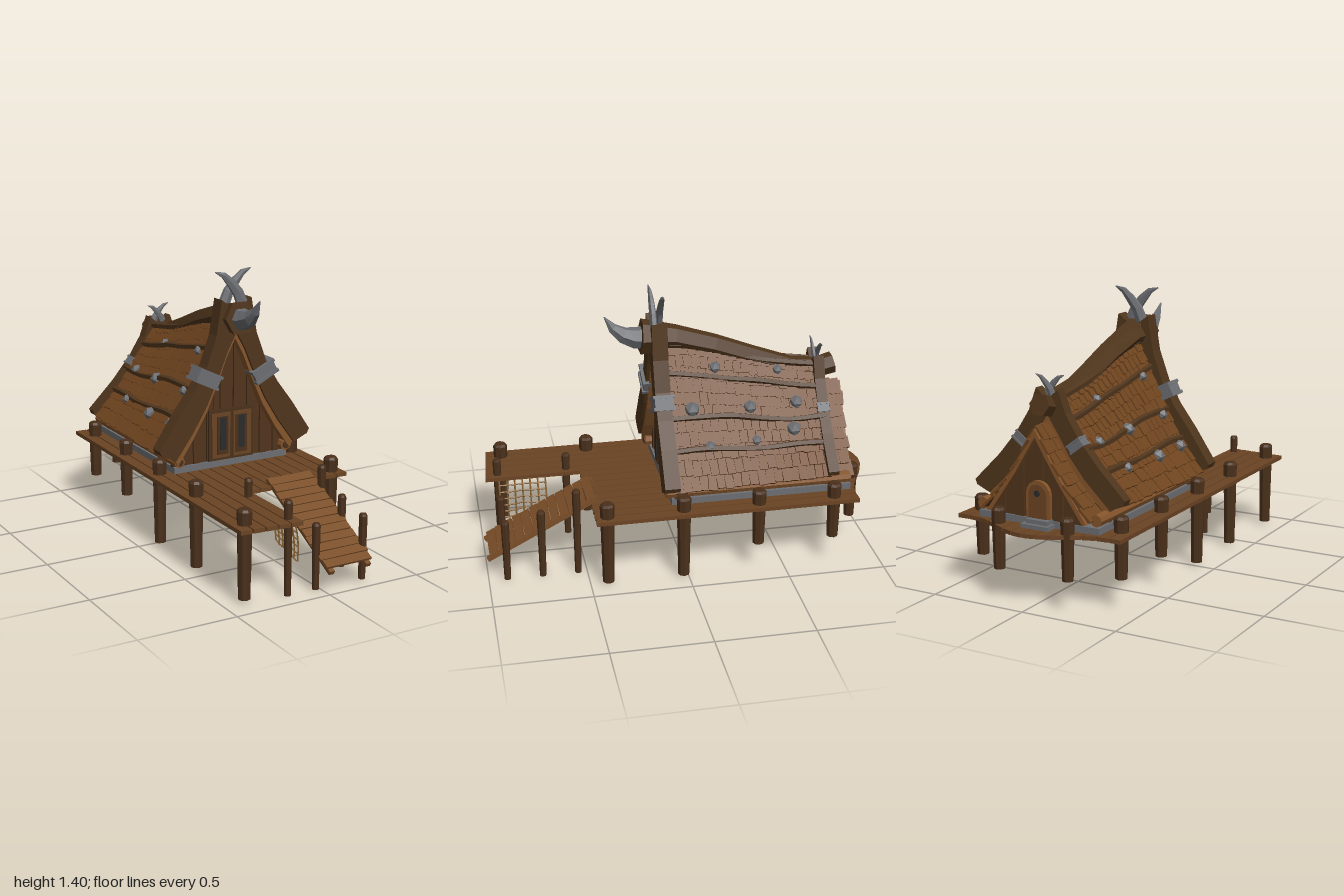
import * as THREE from 'three';
import { mergeGeometries } from 'three/addons/utils/BufferGeometryUtils.js';

const mat = (color, side = THREE.FrontSide) => new THREE.MeshStandardMaterial({ color, flatShading: true, side });
const M = {
  deck: mat(0x6b4424), post: mat(0x4a301b), frame: mat(0x4f351c), wall: mat(0x50341c), trim: mat(0x85552b),
  shingle: mat(0x70451f), under: mat(0x4a2e18, THREE.DoubleSide), ramp: mat(0x7a4e28), door: mat(0x6b4423),
  iron: mat(0x6c6e72), glass: mat(0x2a2a2c), rope: mat(0x8a6434),
};
let seed = 7;
const rnd = () => (seed = (seed * 16807) % 2147483647) / 2147483647;
const V = (x, y, z) => new THREE.Vector3(x, y, z);
const lerp = THREE.MathUtils.lerp;

function add(parent, name, geo, material, x = 0, y = 0, z = 0) {
  const m = new THREE.Mesh(geo, material);
  m.name = name;
  m.position.set(x, y, z);
  parent.add(m);
  return m;
}
const box = (w, h, d, x = 0, y = 0, z = 0) => new THREE.BoxGeometry(w, h, d).translate(x, y, z);
const extrude = (pts, depth) => new THREE.ExtrudeGeometry(
  new THREE.Shape(pts.map(p => new THREE.Vector2(p[0], p[1]))), { depth, bevelEnabled: false });
const mirrorX = pts => pts.map(p => [-p[0], p[1]]);

// piecewise linear lookup of b over increasing a
function lookup(a, b, t) {
  let i = 0;
  while (i < a.length - 2 && t > a[i + 1]) i++;
  return lerp(b[i], b[i + 1], (t - a[i]) / (a[i + 1] - a[i]));
}

// tapered sweep along a path in the xy plane; each point is [x, y, radius in plane, radius in z]
function sweep(path, sides) {
  const pos = [], idx = [], n = path.length;
  path.forEach((p, i) => {
    const a = path[Math.max(0, i - 1)], b = path[Math.min(n - 1, i + 1)];
    const t = new THREE.Vector2(b[0] - a[0], b[1] - a[1]).normalize();
    for (let j = 0; j < sides; j++) {
      const g = (j + 0.5) / sides * Math.PI * 2, c = Math.cos(g) * p[2];
      pos.push(p[0] - t.y * c, p[1] + t.x * c, Math.sin(g) * p[3]);
    }
  });
  for (let i = 0; i < n - 1; i++) for (let j = 0; j < sides; j++) {
    const a = i * sides + j, b = i * sides + (j + 1) % sides;
    idx.push(a, b, b + sides, a, b + sides, a + sides);
  }
  const e = (n - 1) * sides;
  for (let j = 1; j < sides - 1; j++) idx.push(0, j + 1, j, e, e + j, e + j + 1);
  const g = new THREE.BufferGeometry();
  g.setAttribute('position', new THREE.Float32BufferAttribute(pos, 3));
  g.setIndex(idx);
  g.computeVertexNormals();
  return g;
}

// curved roof slope: x, front heights and back heights from ridge to eave
const roofSurface = (px, yf, yb, z0, z1, s) => (v, u) => {
  const k = px.map((_, i) => i / (px.length - 1)), t = u * u * (3 - 2 * u);
  return V(s * lookup(k, px, v), lerp(lookup(k, yf, v), lookup(k, yb, v), t), lerp(z0, z1, u));
};
function shingledSlope(parent, surf, s, rows, cols, w) {
  const sheet = new THREE.PlaneGeometry(1, 1, 10, 8), p = sheet.attributes.position;
  for (let i = 0; i < p.count; i++) p.setXYZ(i, ...surf(0.5 - p.getY(i), p.getX(i) + 0.5).toArray());
  sheet.computeVertexNormals();
  add(parent, 'roofBoards', sheet, M.under);
  const list = [];
  for (let r = 0; r < rows; r++) for (let c = 0; c < cols; c++) {
    const v = (r + 0.5) / rows, u = (c + 0.5 + (r % 2 ? 0.2 : -0.2)) / cols;
    const a = surf(v - 0.5 / rows, u), b = surf(v + 0.5 / rows, u), len = a.distanceTo(b);
    const Y = a.clone().sub(b).normalize(), Z = V(0, 0, -s).cross(Y).normalize(), X = Y.clone().cross(Z);
    const g = box(w * (0.86 + rnd() * 0.12), len * (1.1 + rnd() * 0.3), 0.012);
    g.rotateX(-0.12).rotateZ((rnd() - 0.5) * 0.12);
    const o = a.add(b).multiplyScalar(0.5).addScaledVector(Z, 0.006 + rnd() * 0.006);
    list.push(g.applyMatrix4(new THREE.Matrix4().makeBasis(X, Y, Z).setPosition(o)));
  }
  add(parent, 'shingles', mergeGeometries(list), M.shingle);
}

// vertical board wall under a gable profile
function boardWall(parent, name, px, py, base, half, z, n) {
  const list = [], w = half * 2 / n;
  for (let i = 0; i < n; i++) {
    const a = -half + i * w, b = a + w * 0.92;
    const top = x => Math.max(base + 0.01, lookup(px, py, Math.abs(x)));
    const pts = [[a, base], [b, base], [b, top(b)]];
    if (a < 0 && b > 0) pts.push([0, top(0)]);
    pts.push([a, top(a)]);
    list.push(extrude(pts, 0.025).translate(0, 0, z + (i % 2) * 0.005));
  }
  add(parent, name, mergeGeometries(list), M.wall);
}

// A-shaped gable frame with lighter inner trim
function gable(parent, name, outer, inner, dip, z, depth) {
  const g = new THREE.Group();
  g.name = name;
  const rev = a => a.slice().reverse();
  add(g, 'rafters', extrude([[0, dip], ...mirrorX(outer), ...mirrorX(rev(inner)), ...inner.slice(1), ...rev(outer)], depth), M.frame, 0, 0, z);
  const low = inner.map(p => [p[0] * 0.955, p[1] - 0.035]);
  add(g, 'rafterTrim', extrude([...mirrorX(rev(inner)), ...inner.slice(1), ...rev(low), ...mirrorX(low.slice(1))], depth * 0.7), M.trim, 0, 0, z + depth * 0.1);
  parent.add(g);
}

// crossed horns and iron bands of a gable
function gableIron(parent, y, z, k, dz, bx, by, angle) {
  const path = [[0.05, -0.1], [0.045, -0.03], [0.015, 0.04], [-0.025, 0.09], [-0.065, 0.13], [-0.112, 0.148]];
  const rad = [0.034, 0.034, 0.03, 0.025, 0.017, 0.003];
  const horn = sweep(path.map((p, i) => [p[0] * k, p[1] * k, rad[i] * k, rad[i] * 0.6 * k]), 6);
  [1, -1].forEach(s => {
    const h = add(parent, 'gableHorn', horn, M.iron, 0, y, z + s * dz);
    if (s < 0) h.rotation.y = Math.PI;
    const q = lerp(0.6, 1, (k - 0.6) / 0.4);
    const band = mergeGeometries([box(0.13, 0.06, 0.095), box(0.14, 0.016, 0.11, 0, 0.03), box(0.14, 0.016, 0.11, 0, -0.03)]).scale(q, q, q);
    add(parent, 'rafterBand', band, M.iron, s * bx, by, z).rotation.z = s * angle;
  });
}

function post(parent, x, z, r, bottom, top) {
  const h = top - bottom;
  add(parent, 'post', mergeGeometries([
    new THREE.CylinderGeometry(r, r * 0.8, h - 0.012, 8).translate(0, h / 2 - 0.006, 0),
    new THREE.CylinderGeometry(r * 0.75, r, 0.012, 8).translate(0, h - 0.006, 0)]), M.post, x, bottom, z);
}

export function createModel() {
  const model = new THREE.Group();
  model.name = 'stiltHouse';

  // deck planks with a bowed back edge
  const planks = [], pw = 0.9 / 14;
  const backEdge = x => Math.abs(x) > 0.37 ? -0.87 : -0.87 - 0.065 * (1 + Math.cos(Math.PI * x / 0.37));
  for (let i = 0; i < 14; i++) {
    const a = -0.45 + i * pw, b = a + pw - 0.006, f = i < 5 ? 0.95 + i * 0.005 : 0.47 + (i < 9 ? 0.012 : 0);
    planks.push(extrude([[a, backEdge(a)], [b, backEdge(b)], [b, f], [a, f - 0.004]], 0.02).rotateX(Math.PI / 2));
  }
  add(model, 'deck', mergeGeometries(planks), M.deck, 0, 0.385, 0);

  // posts
  [-1, 1].forEach(s => {
    [[0.41, 0.02], [0.025, 0.02], [-0.36, 0.16], [-0.75, 0.16]].forEach(([z, b]) => post(model, s * 0.388, z, 0.037, b, 0.46));
    post(model, s * 0.19, -0.9, 0.034, 0.16, 0.46);
  });
  post(model, -0.388, 0.87, 0.037, 0.02, 0.46);
  [[-0.175, 0.905, 0.475], [-0.175, 0.545, 0.475], [0.245, 0.545, 0.475], [0.245, 0.725, 0.375], [0.245, 0.905, 0.335], [-0.02, 0.905, 0.335]]
    .forEach(([x, z, t]) => post(model, x, z, 0.021, 0.005, t));

  // boarding ramp
  const ramp = new THREE.Group();
  ramp.name = 'ramp';
  const steps = [];
  for (let i = 0; i < 12; i++) steps.push(box(0.25 + rnd() * 0.02, 0.012, 0.046, 0, 0.012, -0.285 + i * 0.051).rotateY((rnd() - 0.5) * 0.03));
  add(ramp, 'rampPlanks', mergeGeometries(steps), M.ramp);
  [-0.105, 0.1].forEach(x => add(ramp, 'rampBeam', box(0.028, 0.02, 0.64), M.ramp, x, -0.004, 0));
  ramp.position.set(0.115, 0.262, 0.715);
  ramp.rotation.x = Math.atan2(0.29, 0.56);
  model.add(ramp);

  // hanging net
  const net = [];
  const netAt = (a, b) => V(-0.14 + b * lerp(0.05, 0.02, a) + 0.012 * Math.sin(b * 3), 0.375 - b * lerp(0.19, 0.21, a) - 0.01 * Math.sin(a * 9) * b, lerp(0.66, 0.9, a));
  for (let i = 0; i <= 6; i++) [0, 1].forEach(d => {
    const pts = [0, 0.25, 0.5, 0.75, 1].map(t => d ? netAt(t, i / 6) : netAt(i / 6, t));
    net.push(new THREE.TubeGeometry(new THREE.CatmullRomCurve3(pts), 6, 0.0045, 4));
  });
  add(model, 'net', mergeGeometries(net), M.rope);

  // foundation, sill logs and back step
  add(model, 'foundation', box(0.66, 0.035, 0.93), M.iron, 0, 0.4, -0.39);
  [-1, 1].forEach(s => {
    add(model, 'sillLog', new THREE.CylinderGeometry(0.03, 0.03, 0.95, 8).rotateX(Math.PI / 2), M.trim, s * 0.312, 0.45, -0.375);
    add(model, 'sillLogEnd', new THREE.CylinderGeometry(0.019, 0.019, 0.01, 8).rotateX(Math.PI / 2), M.post, s * 0.312, 0.45, 0.102);
  });
  add(model, 'backStep', mergeGeometries([box(0.15, 0.02, 0.07, 0, 0.395, -0.885), box(0.12, 0.02, 0.05, 0, 0.415, -0.875)]), M.iron, -0.02);

  // roof slopes, battens and studs
  const px = [0.02, 0.09, 0.17, 0.26, 0.385];
  const studs = {
    1: [[0.05, -0.52, 0.026], [0.07, -0.19, 0.032], [0.17, -0.055, 0.042], [0.26, -0.13, 0.03], [0.16, -0.355, 0.036], [0.25, -0.37, 0.026], [0.14, -0.6, 0.036], [0.22, -0.57, 0.04]],
    '-1': [[0.28, -0.53, 0.03], [0.18, -0.62, 0.03], [0.19, -0.36, 0.036], [0.29, -0.24, 0.038], [0.1, -0.06, 0.028], [0.2, -0.03, 0.03], [0.29, -0.01, 0.034], [0.08, -0.47, 0.026]],
  };
  [1, -1].forEach(s => {
    const roof = new THREE.Group();
    roof.name = s > 0 ? 'leftRoof' : 'rightRoof';
    const surf = roofSurface(px, [1.14, 0.99, 0.83, 0.66, 0.485], [0.97, 0.87, 0.76, 0.64, 0.5], 0.06, -0.74, s);
    shingledSlope(roof, surf, s, 11, 19, 0.044);
    [0.03, 0.25, 0.55, 0.77].forEach(v => {
      const pts = [0, 0.2, 0.4, 0.6, 0.8, 1].map(u => surf(v, u).add(V(s * 0.012, 0.008 + 0.008 * Math.sin(u * 9 + v * 8), 0)));
      add(roof, 'batten', new THREE.TubeGeometry(new THREE.CatmullRomCurve3(pts), 14, 0.017, 5), M.frame);
    });
    studs[s].forEach(([x, z, r]) => {
      const p = surf(lookup(px, [0, 0.25, 0.5, 0.75, 1], x), (0.06 - z) / 0.8);
      add(roof, 'roofStud', new THREE.IcosahedronGeometry(r, 0), M.iron, p.x + s * 0.012, p.y + 0.008, p.z);
    });
    model.add(roof);
    // back porch slope
    const py = [0.85, 0.74, 0.64, 0.55, 0.44];
    shingledSlope(model, roofSurface([0, 0.06, 0.12, 0.19, 0.28], py, py, -0.74, -0.87, s), s, 8, 3, 0.05);
  });

  // sagging ridge beam with prow horn
  add(model, 'ridgeBeam', sweep([[-0.83, 0.955, 0.056, 0.055], [-0.75, 0.935, 0.054, 0.052], [-0.6, 0.95, 0.056, 0.052], [-0.4, 1.02, 0.058, 0.056],
    [-0.2, 1.095, 0.06, 0.062], [0, 1.155, 0.064, 0.07], [0.17, 1.17, 0.092, 0.086]], 6), M.frame).rotation.y = -Math.PI / 2;
  add(model, 'prowHorn', sweep([[0.15, 1.165, 0.06, 0.055], [0.2, 1.165, 0.055, 0.05], [0.26, 1.185, 0.042, 0.036], [0.31, 1.225, 0.026, 0.02], [0.35, 1.285, 0.003, 0.003]], 6),
    M.iron).rotation.y = -Math.PI / 2;

  // gable frames
  const inner = [[0, 1.09], [0.05, 1.0], [0.1, 0.88], [0.17, 0.73], [0.25, 0.6], [0.345, 0.47]];
  const backInner = [[0, 0.9], [0.06, 0.81], [0.12, 0.71], [0.2, 0.61], [0.335, 0.48]];
  gable(model, 'frontGable', [[0.085, 1.26], [0.115, 1.08], [0.17, 0.93], [0.24, 0.81], [0.33, 0.69], [0.437, 0.53], [0.425, 0.505]], inner, 1.2, 0.05, 0.078);
  gable(model, 'backGable', [[0.06, 1.02], [0.1, 0.91], [0.17, 0.8], [0.27, 0.68], [0.415, 0.535], [0.405, 0.51]], backInner, 0.97, -0.765, 0.055);
  gableIron(model, 1.25, 0.09, 1, 0.02, 0.162, 0.87, 0.46);
  gableIron(model, 0.99, -0.737, 0.62, 0.013, 0.15, 0.765, 0.65);

  // board walls
  const xs = a => a.map(p => p[0]), ys = a => a.map(p => p[1]);
  boardWall(model, 'frontWall', xs(inner), ys(inner), 0.415, 0.33, 0.035, 17);
  boardWall(model, 'backWall', xs(backInner), ys(backInner), 0.415, 0.32, -0.745, 15);
  boardWall(model, 'porchWall', [0, 0.12, 0.26], [0.83, 0.62, 0.43], 0.415, 0.24, -0.85, 9);
  const edge = [[0, 0.85], [0.12, 0.65], [0.275, 0.43]], edgeLow = [[0.25, 0.43], [0.12, 0.615], [0, 0.81]];
  add(model, 'porchTrim', extrude([...edge, ...edgeLow, ...mirrorX(edgeLow.slice(0, 2).reverse()), ...mirrorX(edge.slice(1).reverse())], 0.025), M.trim, 0, 0, -0.875);

  // front double door
  add(model, 'doorFrame', box(0.26, 0.27, 0.02), M.post, 0, 0.55, 0.062);
  [-1, 1].forEach(s => {
    add(model, 'doorLeaf', box(0.105, 0.235, 0.014), M.door, s * 0.062, 0.55, 0.073);
    add(model, 'doorPanel', box(0.065, 0.2, 0.008), M.post, s * 0.054, 0.55, 0.08);
    add(model, 'doorWindow', box(0.036, 0.17, 0.008), M.glass, s * 0.054, 0.56, 0.083);
  });

  // arched back door
  const arch = (w, h) => [[-w, 0], [w, 0], ...Array.from({ length: 9 }, (_, i) => [w * Math.cos(i * Math.PI / 8), h + w * Math.sin(i * Math.PI / 8)])];
  add(model, 'backDoorFrame', extrude(arch(0.065, 0.12), 0.02), M.trim, -0.01, 0.42, -0.868);
  add(model, 'backDoor', extrude(arch(0.048, 0.12), 0.02), M.door, -0.01, 0.42, -0.874);
  add(model, 'backDoorWindow', new THREE.CylinderGeometry(0.016, 0.016, 0.02, 8).rotateX(Math.PI / 2), M.glass, -0.01, 0.545, -0.868);
  return model;
}
